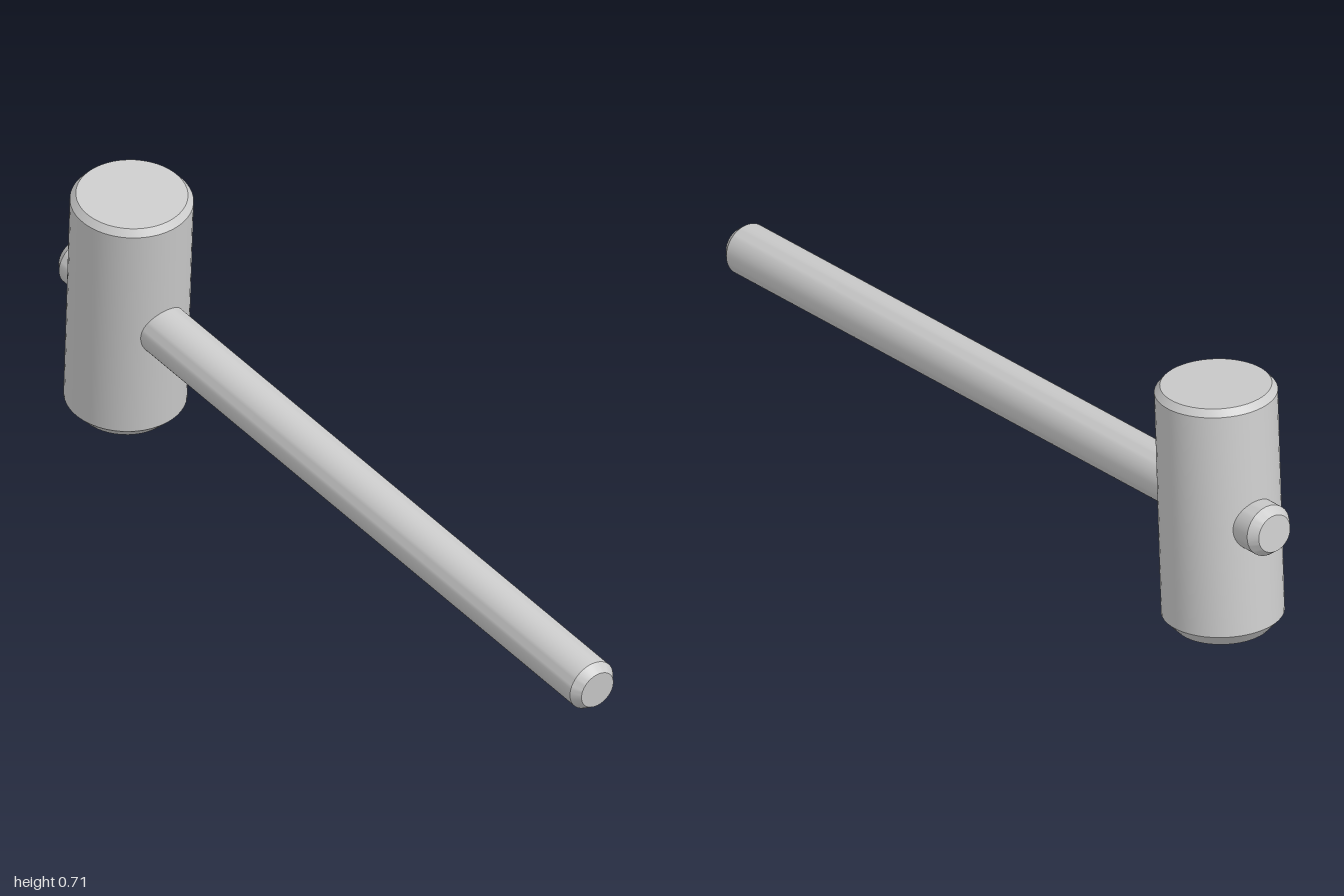
import * as THREE from 'three';
import { toCreasedNormals } from 'three/addons/utils/BufferGeometryUtils.js';

const material = new THREE.MeshStandardMaterial({ color: 0xcccccc });

// Round bar between two points, with a chamfer { r: cap radius, h: height } at each end
function chamferedBar(name, from, to, radius, start, end) {
  const axis = to.clone().sub(from);
  const length = axis.length();
  const profile = [
    [0, 0],
    [start.r, 0],
    [radius, start.h],
    [radius, length - end.h],
    [end.r, length],
    [0, length],
  ].map(([x, y]) => new THREE.Vector2(x, y));
  const geometry = toCreasedNormals(new THREE.LatheGeometry(profile, 48), Math.PI / 8);
  const mesh = new THREE.Mesh(geometry, material);
  mesh.name = name;
  mesh.position.copy(from);
  mesh.quaternion.setFromUnitVectors(new THREE.Vector3(0, 1, 0), axis.normalize());
  return mesh;
}

export function createModel() {
  const group = new THREE.Group();
  group.name = 'mallet';

  // Barrel head, leaning slightly forward, with a wider bevel at the bottom
  group.add(chamferedBar(
    'head',
    new THREE.Vector3(-0.379, 0.016, -0.82),
    new THREE.Vector3(-0.379, 0.691, -0.732),
    0.158, { r: 0.124, h: 0.037 }, { r: 0.143, h: 0.018 },
  ));

  // Long handle running through the head and out of its back
  group.add(chamferedBar(
    'handle',
    new THREE.Vector3(-0.478, 0.378, -0.977),
    new THREE.Vector3(0.481, 0.117, 0.977),
    0.069, { r: 0.051, h: 0.025 }, { r: 0.051, h: 0.025 },
  ));

  return group;
}
